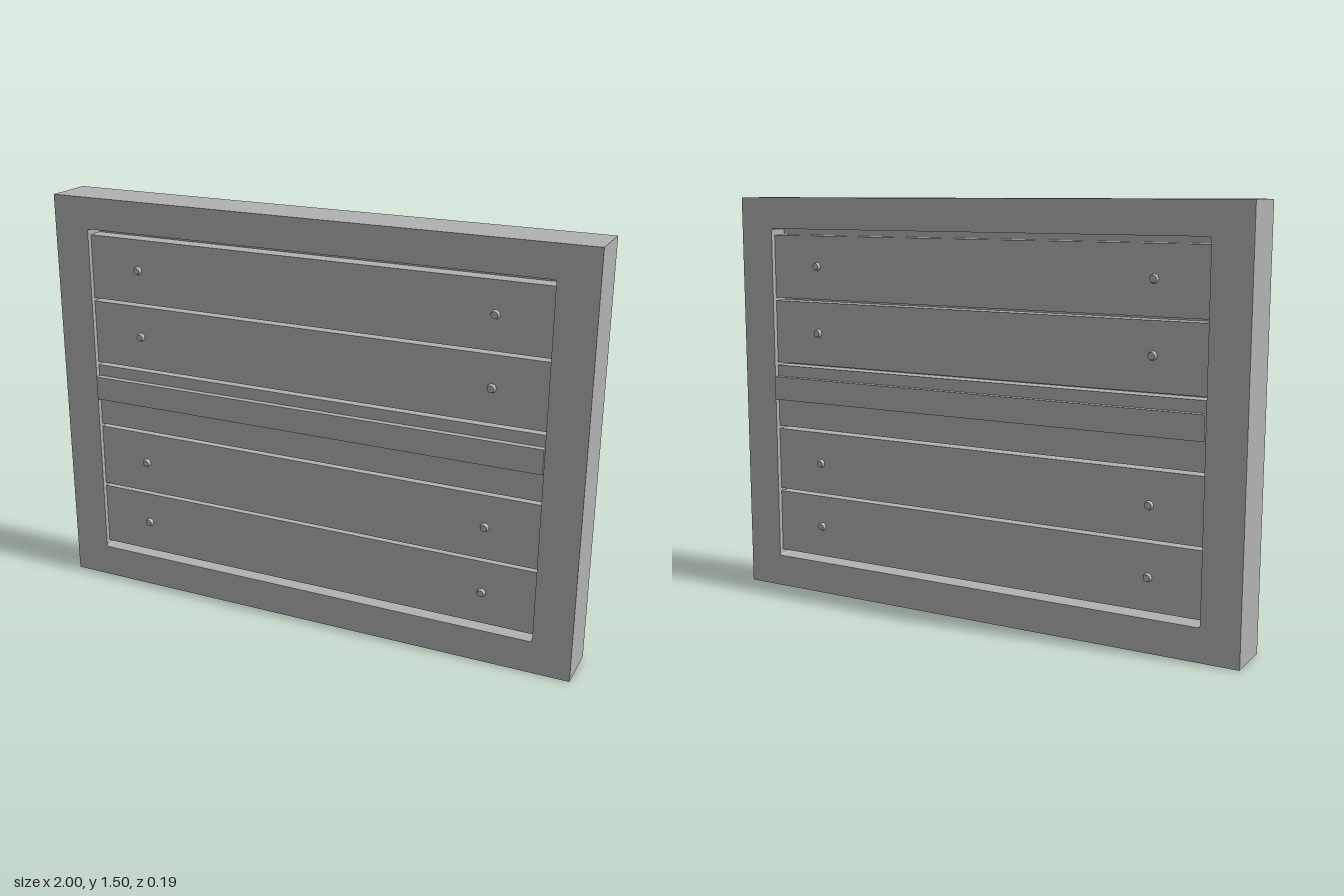
import * as THREE from 'three';

export function createModel() {
  const model = new THREE.Group();
  model.name = 'plankPanel';
  const grey = new THREE.MeshStandardMaterial({ color: 0xb2b2b2 });
  grey.name = 'plain grey';

  const add = (name, geometry, x = 0, y = 0, z = 0) => {
    const mesh = new THREE.Mesh(geometry, grey);
    mesh.name = name;
    mesh.position.set(x, y, z);
    model.add(mesh);
    return mesh;
  };

  // Outer frame with a window whose corners are slightly rounded
  const depth = 0.18, w = 0.862, y0 = 0.12, y1 = 1.385, r = 0.008;
  const outline = new THREE.Shape();
  outline.moveTo(-1, 0).lineTo(1, 0).lineTo(1, 1.5).lineTo(-1, 1.5).closePath();
  const hole = new THREE.Path();
  hole.absarc(w - r, y0 + r, r, -Math.PI / 2, 0);
  hole.absarc(w - r, y1 - r, r, 0, Math.PI / 2);
  hole.absarc(-w + r, y1 - r, r, Math.PI / 2, Math.PI);
  hole.absarc(-w + r, y0 + r, r, Math.PI, Math.PI * 1.5);
  hole.closePath();
  outline.holes.push(hole);
  const frame = new THREE.ExtrudeGeometry(outline, { depth, bevelEnabled: false, curveSegments: 4 });
  add('frame', frame, 0, 0, -depth / 2);

  // Thin core closing the gaps between the planks
  add('core', new THREE.BoxGeometry(2 * w, y1 - y0, 0.03), 0, (y0 + y1) / 2);

  // Five horizontal planks, set back from both faces of the frame
  const face = 0.072, plankHeight = 0.235, pitch = 0.2465;
  for (let i = 0; i < 5; i++) {
    const y = 0.14 + plankHeight / 2 + i * pitch;
    add('plank' + (i + 1), new THREE.BoxGeometry(2 * w, plankHeight, 2 * face), 0, y);
  }

  // Middle rail standing just proud of the frame
  add('middleRail', new THREE.BoxGeometry(2 * w - 0.004, 0.088, 0.19), 0, 0.782);

  // Bolt heads on both faces
  const bolt = new THREE.CylinderGeometry(0.012, 0.016, 0.012, 16).rotateX(Math.PI / 2);
  for (const side of [1, -1]) {
    for (const x of [-0.668, 0.668]) {
      for (const y of [0.257, 0.504, 1.0, 1.248]) {
        const head = add('boltHead', bolt, x, y, side * (face + 0.006));
        if (side < 0) head.rotation.y = Math.PI;
      }
    }
  }
  return model;
}
